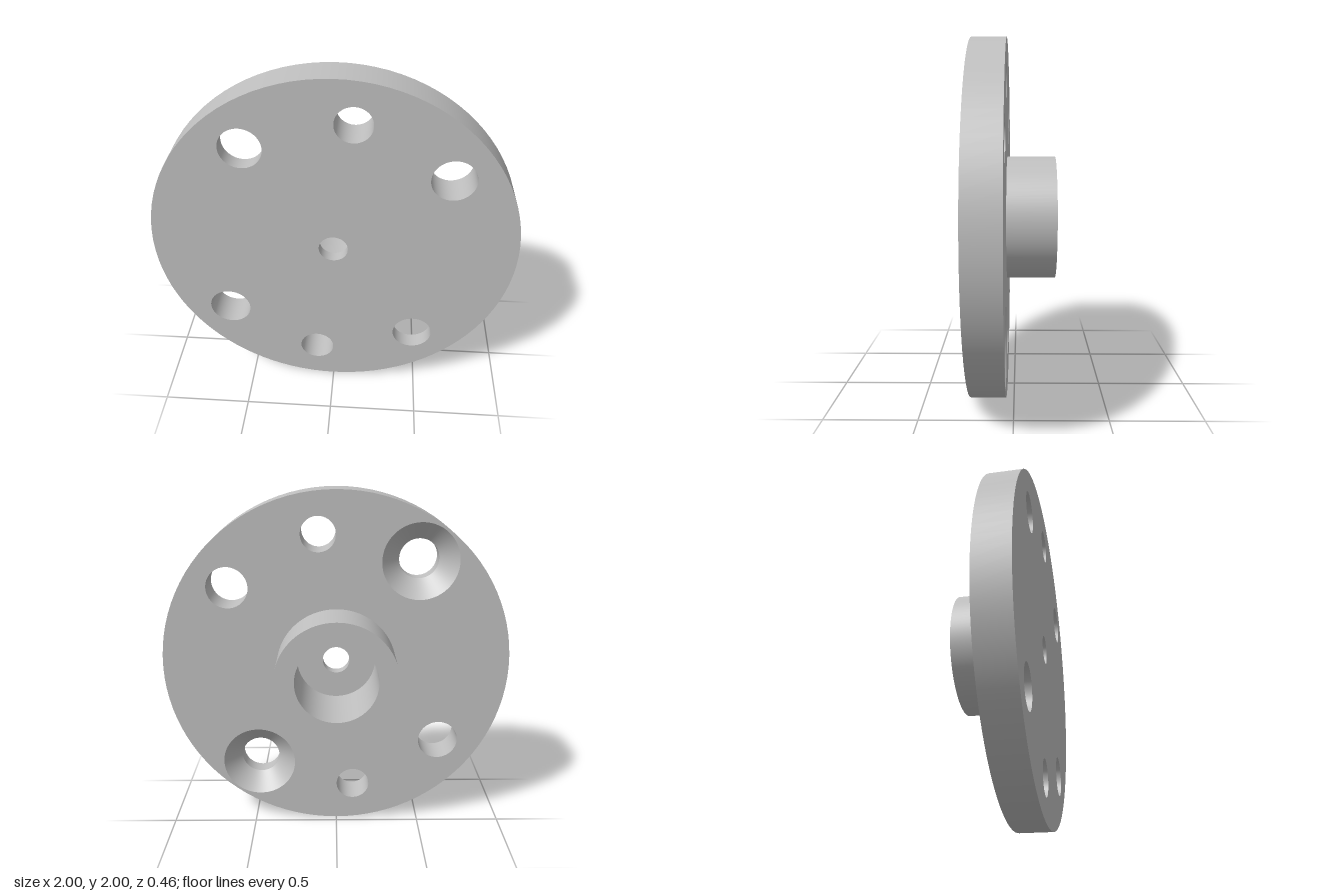
import * as THREE from 'three';
import { mergeGeometries } from 'three/addons/utils/BufferGeometryUtils.js';

const SEGMENTS = 96;
const FRONT = 0.23, PLATE_BACK = 0.04, HUB_BACK = -0.23, BORE_FLOOR = 0.165;
const PLATE_R = 1, HUB_R = 0.345, BORE_R = 0.232, CENTRE_R = 0.08;
const SINK_R = 0.215, SINK_DEPTH = 0.1;

// Revolves a [radius, z] profile about the z axis, with a sharp edge at each corner.
// Running towards +z faces outward, running towards -z faces inward.
function revolve(profile) {
  const bands = [];
  for (let i = 0; i < profile.length - 1; i++) {
    const points = [profile[i], profile[i + 1]].map(([r, z]) => new THREE.Vector2(r, z));
    bands.push(new THREE.LatheGeometry(points, SEGMENTS));
  }
  return mergeGeometries(bands).rotateX(Math.PI / 2);
}

// Flat disc facing +z, pierced by round holes.
function piercedDisc(holes) {
  const shape = new THREE.Shape().absarc(0, 0, PLATE_R, 0, Math.PI * 2);
  for (const { x, y, r } of holes) {
    shape.holes.push(new THREE.Path().absarc(x, y, r, 0, Math.PI * 2, true));
  }
  return new THREE.ShapeGeometry(shape, SEGMENTS / 2);
}

export function createModel() {
  const model = new THREE.Group();
  model.name = 'hubbedFlange';
  const metal = new THREE.MeshStandardMaterial({ color: 0xbfbfbf });
  metal.name = 'grey metal';

  const add = (name, geometry, x = 0, y = 0, z = 0) => {
    const mesh = new THREE.Mesh(geometry, metal);
    mesh.name = name;
    mesh.position.set(x, y + 1, z);
    model.add(mesh);
    return mesh;
  };

  // Three kinds of hole, each repeated on the opposite side of the centre
  const holes = [];
  for (const s of [1, -1]) {
    holes.push(
      { name: 'countersunkHole', x: -0.467 * s, y: 0.612 * s, r: 0.113, sunk: true },
      { name: 'smallHole', x: 0.1 * s, y: 0.763 * s, r: 0.098 },
      { name: 'largeHole', x: 0.61 * s, y: 0.468 * s, r: 0.117 },
    );
  }

  // Plate: front face, back face and rim
  add('plateFront', piercedDisc([...holes, { x: 0, y: 0, r: CENTRE_R }]), 0, 0, FRONT);
  const backHoles = holes.map(({ x, y, r, sunk }) => ({ x: -x, y, r: sunk ? SINK_R : r }));
  const back = piercedDisc([...backHoles, { x: 0, y: 0, r: HUB_R }]).rotateY(Math.PI);
  add('plateBack', back, 0, 0, PLATE_BACK);
  add('plateRim', revolve([[PLATE_R, PLATE_BACK], [PLATE_R, FRONT]]));

  // Hole walls, with a conical seat at the back of the countersunk pair
  for (const { name, x, y, r, sunk } of holes) {
    const profile = sunk
      ? [[r, FRONT], [r, PLATE_BACK + SINK_DEPTH], [SINK_R, PLATE_BACK]]
      : [[r, FRONT], [r, PLATE_BACK]];
    add(name, revolve(profile), x, y);
  }

  // Hub: centre hole, bore floor, bore wall, end ring and outer wall
  add('hub', revolve([
    [CENTRE_R, FRONT], [CENTRE_R, BORE_FLOOR], [BORE_R, BORE_FLOOR],
    [BORE_R, HUB_BACK], [HUB_R, HUB_BACK], [HUB_R, PLATE_BACK],
  ]));

  return model;
}
